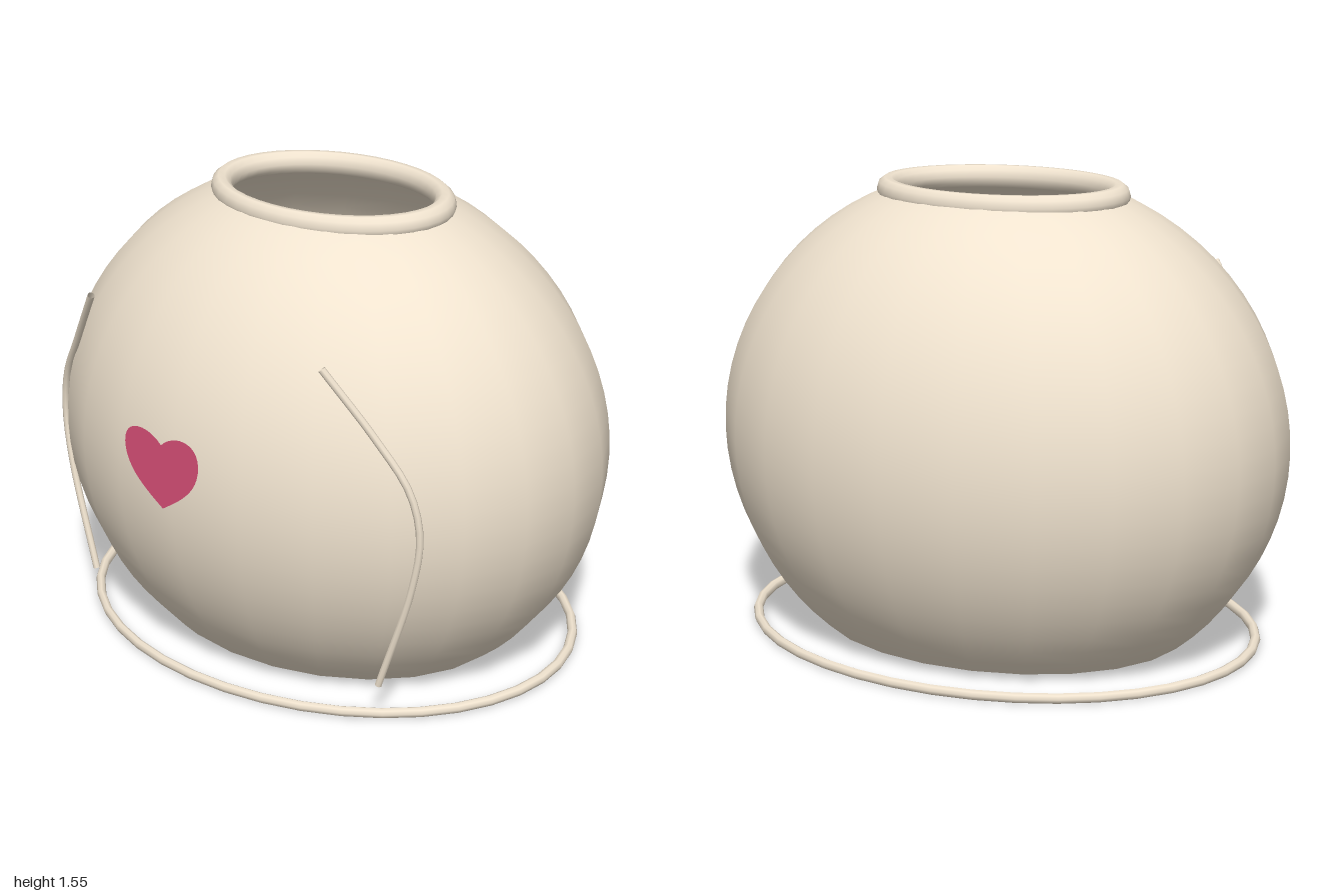
import * as THREE from 'three';

export function createModel() {
  const model = new THREE.Group();
  const clay = new THREE.MeshStandardMaterial({ color: 0xf0e3cf, side: THREE.DoubleSide });
  const pink = new THREE.MeshStandardMaterial({ color: 0xd94f78, side: THREE.DoubleSide });
  const add = (name, geometry, material = clay) => {
    const mesh = new THREE.Mesh(geometry, material);
    mesh.name = name;
    model.add(mesh);
    return mesh;
  };
  const zMid = -0.02;

  // Oval bowl, open at the top and bottom
  const thetaTop = 0.413, thetaBottom = 2.417;
  const bowl = add('bowl', new THREE.SphereGeometry(1, 24, 24, 0, Math.PI * 2, thetaTop, thetaBottom - thetaTop));
  bowl.scale.set(1, 0.895, 0.797);
  bowl.position.set(0, 0.69, zMid);

  // Oval rings: rolled rim and thin base hoop
  const ring = (name, radius, tube, depth, y, sides, steps) => {
    const geometry = new THREE.TorusGeometry(radius, tube, sides, steps).rotateX(Math.PI / 2);
    const mesh = add(name, geometry);
    mesh.scale.z = depth;
    mesh.position.set(0, y, zMid);
  };
  ring('rim', 0.405, 0.04, 0.753, 1.508, 10, 40);
  ring('baseRing', 0.8975, 0.0175, 0.803, 0.0175, 8, 40);

  // Curved cords, mirrored on either side of the front
  const cordPoints = [
    [0.492, 1.215, 0.617], [0.645, 1.0, 0.543], [0.745, 0.84, 0.502],
    [0.776, 0.69, 0.487], [0.75, 0.5, 0.491], [0.635, 0.13, 0.508],
  ];
  for (const [name, side] of [['leftCord', 1], ['rightCord', -1]]) {
    const curve = new THREE.CatmullRomCurve3(
      cordPoints.map(([x, y, z]) => new THREE.Vector3(side * x, y, z)));
    add(name, new THREE.TubeGeometry(curve, 24, 0.012, 8));
  }

  // Flat heart floating just in front of the bowl
  const heart = new THREE.Shape();
  heart.moveTo(0, 0.67);
  heart.bezierCurveTo(0.06, 0.71, 0.158, 0.765, 0.158, 0.86);
  heart.bezierCurveTo(0.158, 0.945, 0.055, 0.945, 0, 0.89);
  heart.bezierCurveTo(-0.055, 0.945, -0.158, 0.945, -0.158, 0.86);
  heart.bezierCurveTo(-0.158, 0.765, -0.06, 0.71, 0, 0.67);
  add('heart', new THREE.ShapeGeometry(heart, 12), pink).position.z = 0.815;

  return model;
}
